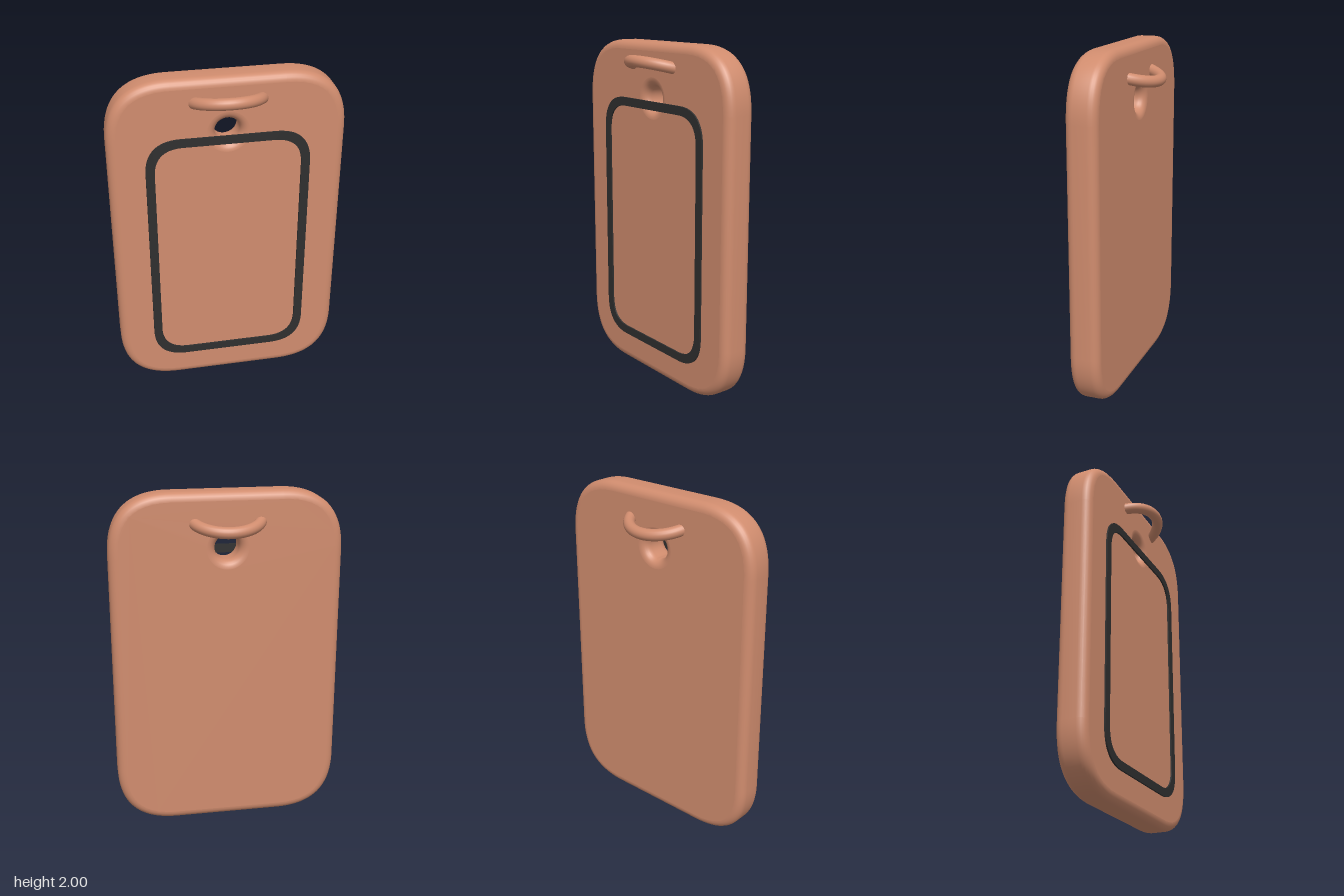
import * as THREE from 'three';
import { toCreasedNormals } from 'three/addons/utils/BufferGeometryUtils.js';

// Rectangle with soft corners, centred on x = 0
function softRect(Type, halfW, y0, y1, r) {
  const s = new Type();
  s.moveTo(-halfW + r, y0);
  s.lineTo(halfW - r, y0);
  s.quadraticCurveTo(halfW, y0, halfW, y0 + r);
  s.lineTo(halfW, y1 - r);
  s.quadraticCurveTo(halfW, y1, halfW - r, y1);
  s.lineTo(-halfW + r, y1);
  s.quadraticCurveTo(-halfW, y1, -halfW, y1 - r);
  s.lineTo(-halfW, y0 + r);
  s.quadraticCurveTo(-halfW, y0, -halfW + r, y0);
  return s;
}

// Extrusion with smooth rounded edges and flat front and back
function smoothExtrude(shape, options) {
  const geo = toCreasedNormals(new THREE.ExtrudeGeometry(shape, options), 0.7);
  const { start, count } = geo.groups[0];
  const pos = geo.attributes.position;
  const mid = options.depth / 2;
  for (let i = start; i < start + count; i++) {
    geo.attributes.normal.setXYZ(i, 0, 0, pos.getZ(i) > mid ? 1 : -1);
  }
  return geo;
}

export function createModel() {
  const model = new THREE.Group();
  model.name = 'tag';

  const clay = new THREE.MeshStandardMaterial({ color: 0xd08c6e });
  clay.name = 'clay';
  const black = new THREE.MeshStandardMaterial({ color: 0x2f2f2f });
  black.name = 'black';

  function add(name, geometry, material) {
    const mesh = new THREE.Mesh(geometry, material);
    mesh.name = name;
    model.add(mesh);
    return mesh;
  }

  // Tag body with a flared hole near the top
  const bevel = 0.05;
  const outline = softRect(THREE.Shape, 0.665, 0, 2, 0.35);
  outline.holes.push(new THREE.Path().absarc(0, 1.685, 0.07, 0, Math.PI * 2, true));
  const body = add('body', smoothExtrude(outline, {
    depth: 0.18 - 2 * bevel,
    bevelSize: bevel,
    bevelThickness: bevel,
    bevelOffset: -bevel,
    bevelSegments: 6,
    curveSegments: 24,
  }), clay);
  body.position.z = -0.09 + bevel;

  // Thin dark border floating just in front of the face
  const border = softRect(THREE.Shape, 0.463, 0.18, 1.67, 0.2);
  border.holes.push(softRect(THREE.Path, 0.413, 0.23, 1.62, 0.16));
  const frame = add('frontBorder', smoothExtrude(border, {
    depth: 0.009,
    bevelEnabled: false,
    curveSegments: 24,
  }), black);
  frame.position.z = 0.0945;

  // Tilted ring passing through the body
  const ring = add('ring', new THREE.TorusGeometry(0.203, 0.033, 20, 64), clay);
  ring.position.set(0, 1.847, 0);
  ring.rotation.x = Math.PI / 2 - 0.26;

  return model;
}
